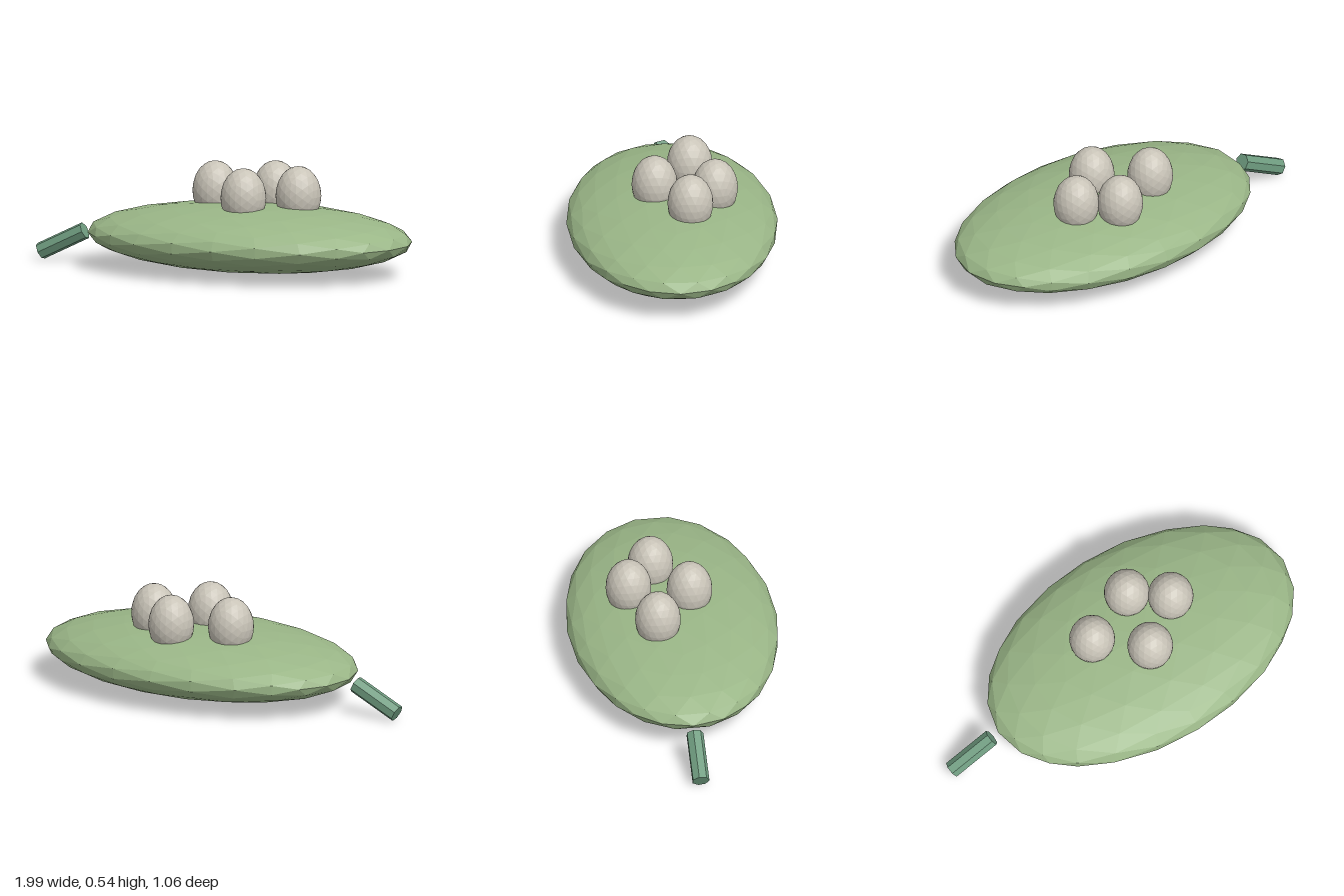
import * as THREE from 'three';

const material = (name, color) => {
  const m = new THREE.MeshStandardMaterial({ color, flatShading: true });
  m.name = name;
  return m;
};

export function createModel() {
  const group = new THREE.Group();
  const padGreen = material('padGreen', 0x9ab687);
  const stemGreen = material('stemGreen', 0x6f9c80);
  const eggCream = material('eggCream', 0xc9c4b8);

  const add = (name, geometry, mat, x, y, z) => {
    const mesh = new THREE.Mesh(geometry, mat);
    mesh.name = name;
    mesh.position.set(x, y, z);
    group.add(mesh);
    return mesh;
  };

  // Faceted flattened pad
  add('pad', new THREE.IcosahedronGeometry(1, 3).scale(0.85, 0.165, 0.53), padGreen, 0.145, 0.18, 0);

  // Seven-sided slanted stem, just clear of the pad
  const stem = add('stem', new THREE.CylinderGeometry(0.044, 0.044, 0.265, 7), stemGreen, -0.862, 0.102, 0);
  stem.rotation.z = -Math.PI / 2 + 0.46;

  // Four upright eggs nestled into the pad
  const eggGeometry = new THREE.IcosahedronGeometry(1, 3).scale(0.115, 0.15, 0.115);
  const spots = [[-0.08, -0.1], [0.2, -0.213], [0.375, -0.08], [0.145, 0.088]];
  spots.forEach(([x, z], i) => add(`egg${i + 1}`, eggGeometry, eggCream, x, 0.39, z));

  return group;
}
